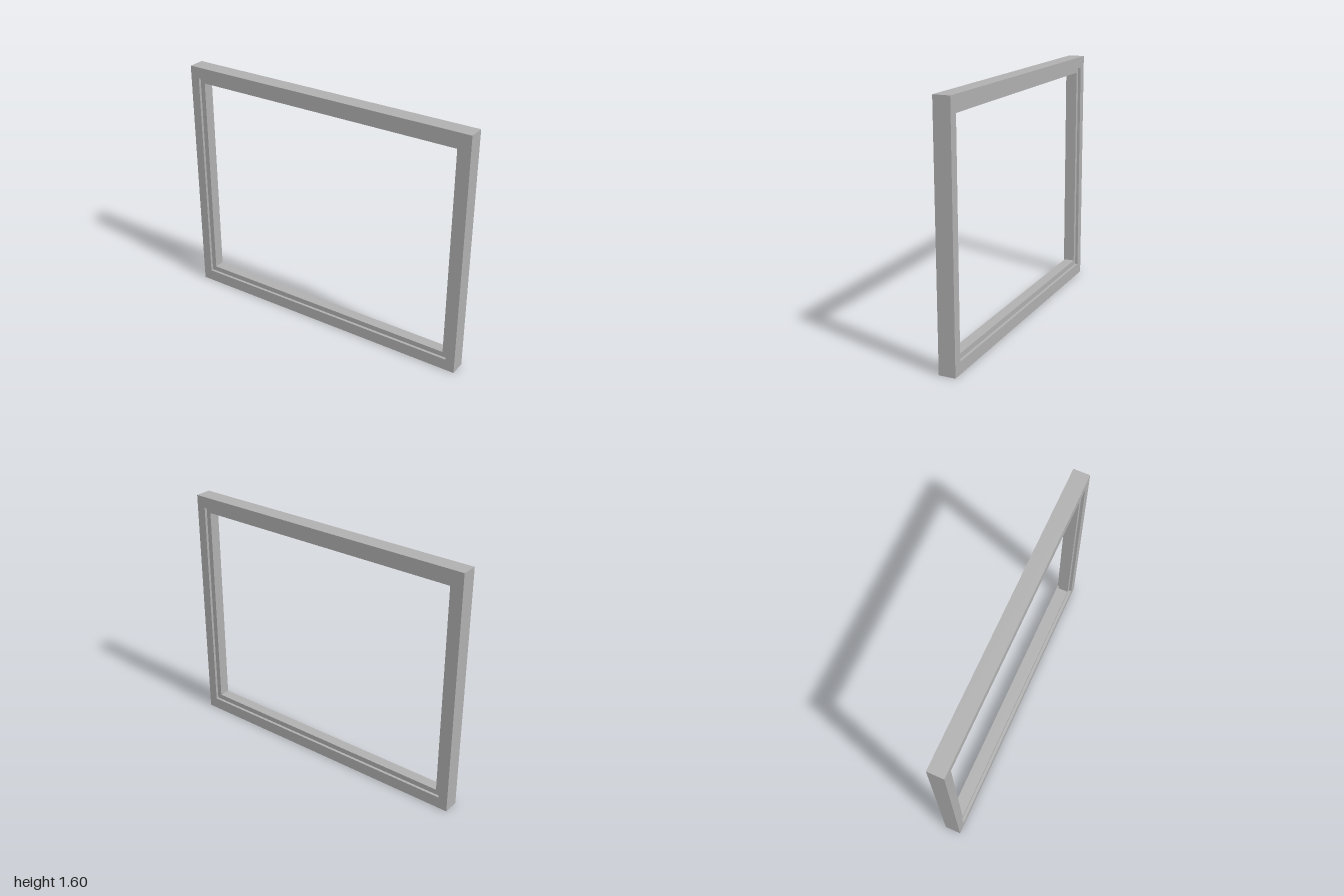
import * as THREE from 'three';

// Rectangle outline given by half width, bottom and top
function trace(path, hw, y0, y1) {
  path.moveTo(-hw, y0);
  path.lineTo(hw, y0);
  path.lineTo(hw, y1);
  path.lineTo(-hw, y1);
  path.closePath();
  return path;
}

// Rectangular ring extruded evenly about z = 0
function ring(name, outer, inner, depth, material) {
  const shape = trace(new THREE.Shape(), ...outer);
  shape.holes.push(trace(new THREE.Path(), ...inner));
  const geometry = new THREE.ExtrudeGeometry(shape, { depth, bevelEnabled: false });
  geometry.translate(0, 0, -depth / 2);
  const mesh = new THREE.Mesh(geometry, material);
  mesh.name = name;
  return mesh;
}

export function createModel() {
  const group = new THREE.Group();
  group.name = 'windowFrame';
  const grey = new THREE.MeshStandardMaterial({ color: 0xb0b0b0 });
  grey.name = 'grey';

  const outline = [1, 0, 1.602];
  const step = [0.939, 0.077, 1.528];
  const opening = [0.907, 0.111, 1.494];

  // Thick surround, with a thinner lip recessed on both sides
  group.add(ring('outerFrame', outline, step, 0.107, grey));
  group.add(ring('innerLip', step, opening, 0.071, grey));
  return group;
}
